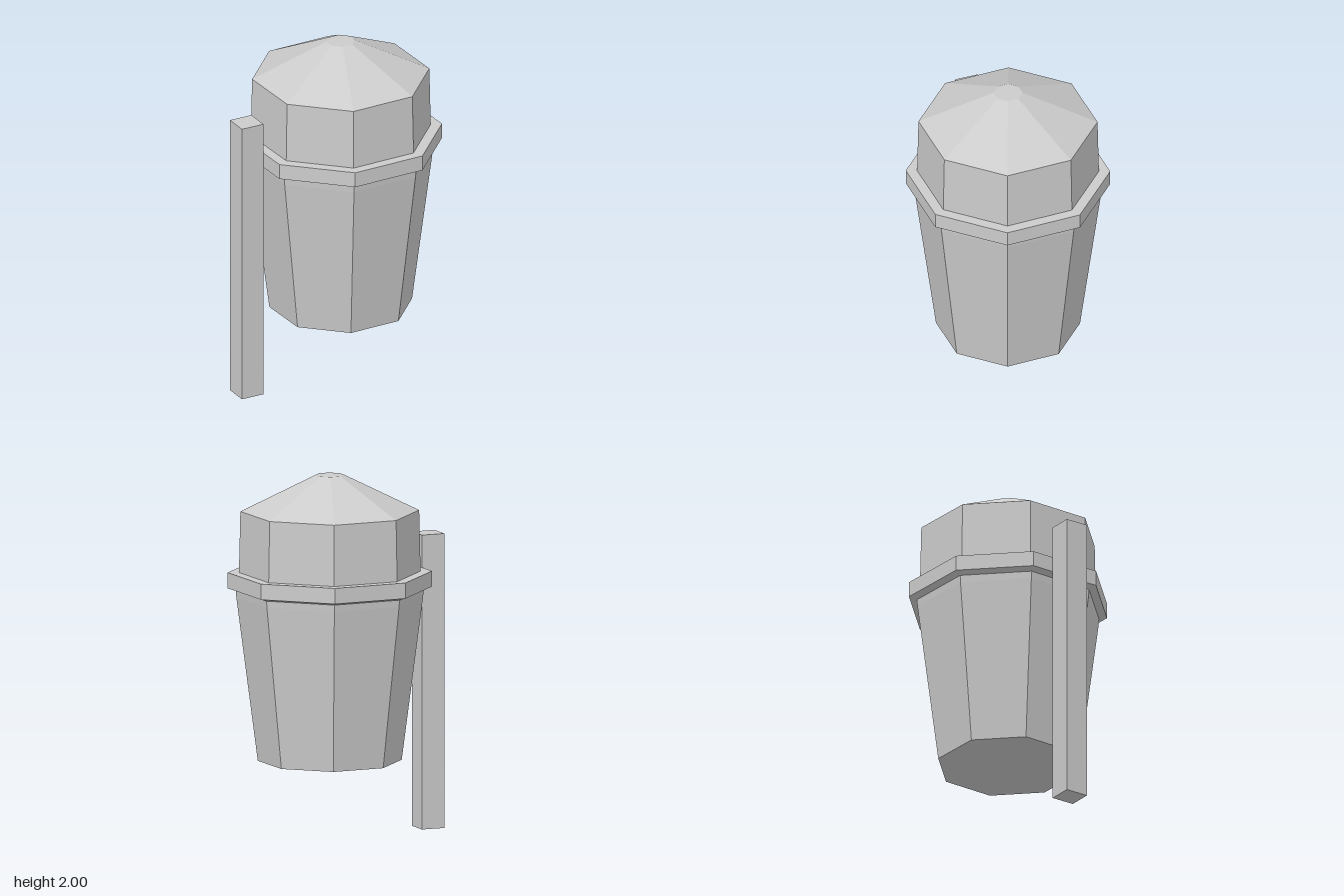
import * as THREE from 'three';

const TURN = 0.424; // rotation of the octagon about its axis
const AXIS_X = 0.065;

export function createModel() {
  const model = new THREE.Group();
  model.name = 'postMountedBin';
  const material = new THREE.MeshStandardMaterial({ color: 0xcccccc, flatShading: true });

  function add(name, geometry, x, y) {
    const mesh = new THREE.Mesh(geometry, material);
    mesh.name = name;
    mesh.position.set(x, y, 0);
    model.add(mesh);
  }

  // Eight-sided part turned from [radius, height] points, bottom to top
  function octagon(name, profile) {
    const points = profile.map(([r, y]) => new THREE.Vector2(r, y));
    add(name, new THREE.LatheGeometry(points, 8, TURN, Math.PI * 2), AXIS_X, 0);
  }

  // Tapered bucket with a closed floor and a straighter lip
  octagon('bucket', [[0, 0.41], [0.396, 0.41], [0.514, 1.32], [0.518, 1.37]]);

  // Projecting rim with a slightly sloped underside
  octagon('rim', [[0.5, 1.355], [0.52, 1.36], [0.562, 1.373], [0.562, 1.46], [0.49, 1.46]]);

  // Lid: near-vertical walls and a shallow roof with a small flat top
  octagon('lid', [[0.5, 1.45], [0.492, 1.8], [0.08, 2], [0, 2]]);

  // Square support post
  add('post', new THREE.BoxGeometry(0.135, 1.64, 0.135), -0.525, 0.82);

  return model;
}
